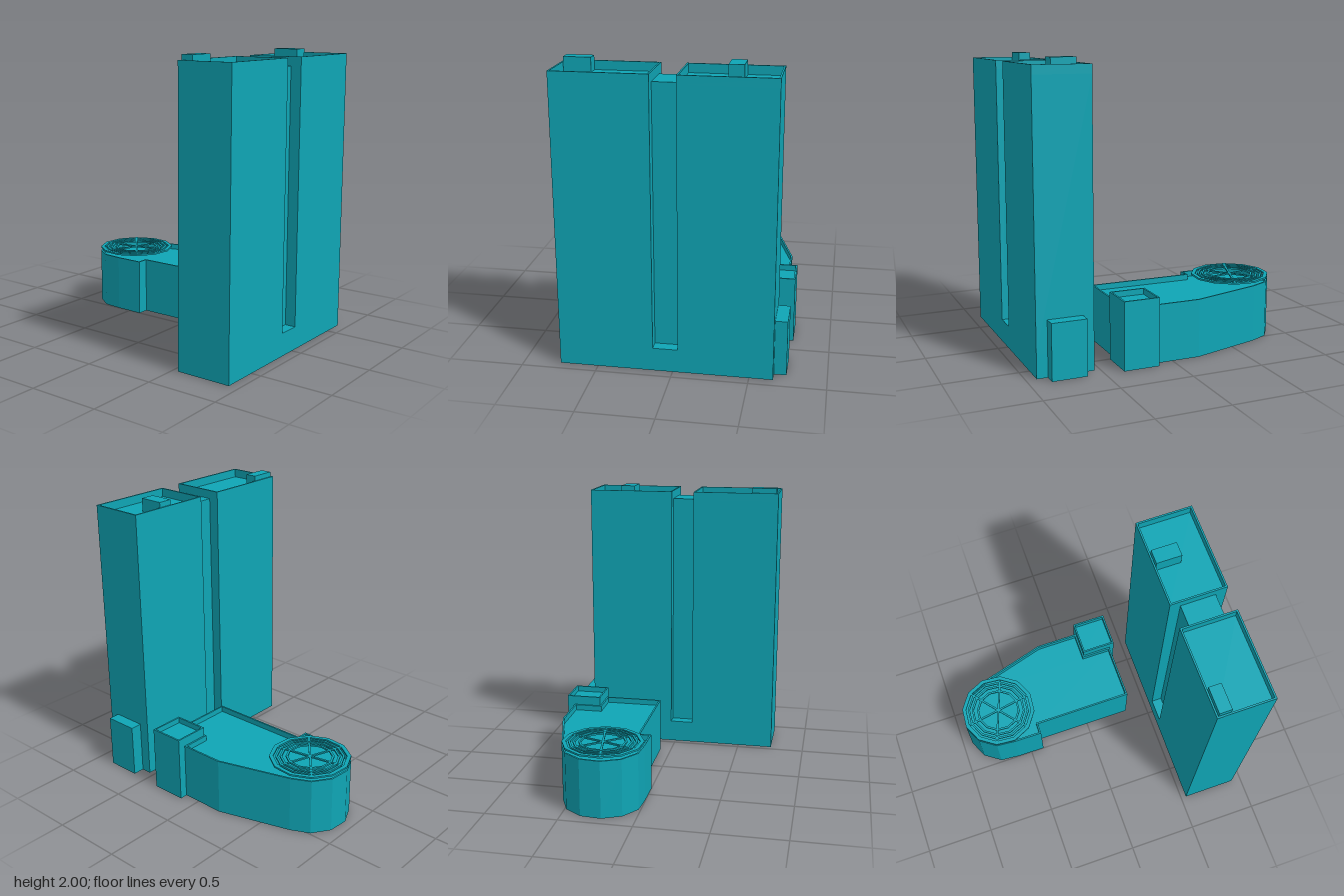
import * as THREE from 'three';

const material = new THREE.MeshStandardMaterial({
  color: 0x0fa5b5, flatShading: true, side: THREE.DoubleSide,
});

// Plan outline from [x, z] pairs, counter-clockwise seen from above (plan y = -z)
function plan(pairs) {
  const pts = pairs.map(([x, z]) => new THREE.Vector2(x, -z));
  return THREE.ShapeUtils.isClockWise(pts) ? pts.reverse() : pts;
}

const rect = (x0, x1, z0, z1) => plan([[x0, z0], [x0, z1], [x1, z1], [x1, z0]]);

// Outline moved inwards by d
function inset(pts, d) {
  const n = pts.length;
  return pts.map((p, i) => {
    const a = p.clone().sub(pts[(i + n - 1) % n]).normalize();
    const b = pts[(i + 1) % n].clone().sub(p).normalize();
    const na = new THREE.Vector2(-a.y, a.x), nb = new THREE.Vector2(-b.y, b.x);
    const k = d / (1 + na.dot(nb));
    return p.clone().add(na.add(nb).multiplyScalar(k));
  });
}

function addMesh(parent, name, geometry) {
  const mesh = new THREE.Mesh(geometry, material);
  mesh.name = name;
  parent.add(mesh);
  return mesh;
}

// Upright walls along a closed outline
function walls(parent, name, pts, y0, y1) {
  const pos = [];
  pts.forEach((a, i) => {
    const b = pts[(i + 1) % pts.length];
    const a0 = [a.x, y0, -a.y], b0 = [b.x, y0, -b.y];
    const a1 = [a.x, y1, -a.y], b1 = [b.x, y1, -b.y];
    pos.push(...a0, ...b0, ...b1, ...a0, ...b1, ...a1);
  });
  const g = new THREE.BufferGeometry();
  g.setAttribute('position', new THREE.Float32BufferAttribute(pos, 3));
  g.computeVertexNormals();
  return addMesh(parent, name, g);
}

// Level surface at height y, optionally with a hole
function level(parent, name, pts, y, hole) {
  const shape = new THREE.Shape(pts);
  if (hole) shape.holes.push(new THREE.Path(hole));
  return addMesh(parent, name, new THREE.ShapeGeometry(shape).rotateX(-Math.PI / 2).translate(0, y, 0));
}

// Thin raised rim around a roof
function parapet(parent, name, pts, y0, y1, thick = 0.012) {
  const inner = inset(pts, thick);
  walls(parent, name + 'Outside', pts, y0, y1);
  walls(parent, name + 'Inside', inner.slice().reverse(), y0, y1);
  level(parent, name + 'Top', pts, y1, inner);
}

// Bottomless block with a flat lid
function block(parent, name, pts, y0, y1) {
  const g = new THREE.Group();
  g.name = name;
  walls(g, name + 'Walls', pts, y0, y1);
  level(g, name + 'Roof', pts, y1);
  parent.add(g);
  return g;
}

function makeTowers() {
  const g = new THREE.Group();
  g.name = 'twinTowers';
  const x0 = -0.755, x1 = -0.13, x2 = 0.035, x3 = 0.655;
  const zb = 0.54, zbi = 0.615, zfi = 0.855, zf = 0.93;
  const baseY = 0.16, roofY = 1.905, topY = 1.965;

  // Shared base with the ledges of the front and back channels
  walls(g, 'towerBase', rect(x0, x3, zb, zf), 0, baseY);
  level(g, 'frontLedge', rect(x1, x2, zfi, zf), baseY);
  level(g, 'backLedge', rect(x1, x2, zb, zbi), baseY);

  // H-shaped shaft: two towers joined by a recessed link
  const shaft = plan([
    [x0, zb], [x0, zf], [x1, zf], [x1, zfi], [x2, zfi], [x2, zf],
    [x3, zf], [x3, zb], [x2, zb], [x2, zbi], [x1, zbi], [x1, zb],
  ]);
  walls(g, 'towerShaft', shaft, baseY, roofY);
  level(g, 'towerRoof', shaft, roofY);
  parapet(g, 'leftParapet', rect(x2, x3, zb, zf), roofY, topY);
  parapet(g, 'rightParapet', rect(x0, x1, zb, zf), roofY, topY);

  // Rooftop huts and the low annex at the side
  block(g, 'rightRoofHut', rect(-0.74, -0.56, 0.555, 0.64), roofY, 2);
  block(g, 'leftRoofHut', rect(0.32, 0.42, 0.555, 0.73), roofY, 2);
  block(g, 'sideAnnex', rect(x3, 0.737, zbi, zfi), 0, 0.38);
  return g;
}

const DISC = { x: 0.276, z: -0.655, r: 0.278 };

// Corner k of the twelve-sided round end
function corner(k, r = DISC.r) {
  const a = THREE.MathUtils.degToRad(-10 - 30 * k);
  return [DISC.x + r * Math.cos(a), DISC.z + r * Math.sin(a)];
}

function makeHall() {
  const g = new THREE.Group();
  g.name = 'lowHall';
  // Tapering plan with a faceted round end and a cut-out for the corner block
  const arc = Array.from({ length: 7 }, (_, k) => corner(k));
  const outline = plan([
    [0.08, 0.335], [0.5, 0.335], [0.5, 0.12], [0.695, 0.12], [0.695, -0.197],
    ...arc, [0, -0.4], [0.08, -0.4],
  ]);
  walls(g, 'hallWalls', outline, 0, 0.36);
  level(g, 'hallRoof', outline, 0.36);
  parapet(g, 'hallParapet', outline, 0.36, 0.4);

  const cornerBlock = rect(0.5, 0.75, 0.12, 0.37);
  block(g, 'cornerBlock', cornerBlock, 0, 0.425);
  parapet(g, 'cornerParapet', cornerBlock, 0.425, 0.465);
  return g;
}

// Open lattice of concentric rings and spokes above the round end
function makeSkylight() {
  const g = new THREE.Group();
  g.name = 'skylightLattice';
  const y0 = 0.42, y1 = 0.432;
  const ring = (r) => plan(Array.from({ length: 12 }, (_, k) => corner(k, r)));
  for (const [ro, ri] of [[0.278, 0.25], [0.235, 0.22], [0.205, 0.19], [0.165, 0.15]]) {
    const shape = new THREE.Shape(ring(ro));
    shape.holes.push(new THREE.Path(ring(ri)));
    const geo = new THREE.ExtrudeGeometry(shape, { depth: y1 - y0, bevelEnabled: false });
    addMesh(g, 'latticeRing', geo.rotateX(-Math.PI / 2).translate(0, y0, 0));
  }
  for (let i = 0; i < 3; i++) {
    const spoke = addMesh(g, 'latticeSpoke', new THREE.BoxGeometry(0.53, 0.01, 0.014));
    spoke.position.set(DISC.x, (y0 + y1) / 2, DISC.z);
    spoke.rotation.y = -THREE.MathUtils.degToRad(20 + 60 * i);
  }
  return g;
}

export function createModel() {
  const model = new THREE.Group();
  model.name = 'buildingComplex';
  model.add(makeTowers(), makeHall(), makeSkylight());
  return model;
}
